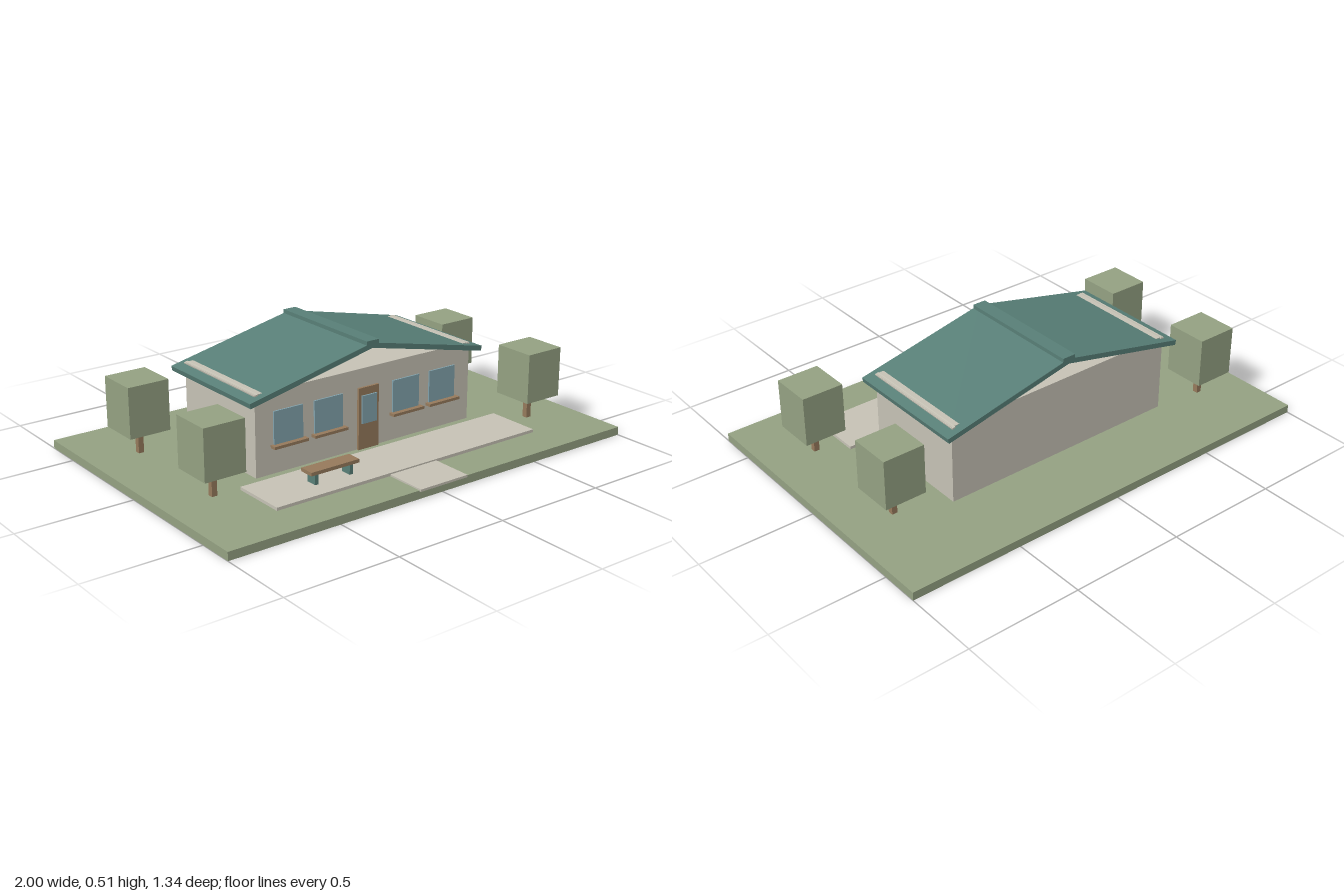
import * as THREE from 'three';

export function createModel() {
  const model = new THREE.Group();
  const paint = (name, color) => {
    const m = new THREE.MeshStandardMaterial({ color });
    m.name = name;
    return m;
  };
  const green = paint('sage green', 0x94a182);
  const stone = paint('warm stone', 0xc6c2b5);
  const teal = paint('teal', 0x587f77);
  const wood = paint('wood', 0x967a5c);
  const glass = paint('glass blue', 0x82a3ad);

  // Box given by its extents on each axis
  const box = (name, mat, [x0, x1], [y0, y1], [z0, z1], parent = model) => {
    const mesh = new THREE.Mesh(new THREE.BoxGeometry(x1 - x0, y1 - y0, z1 - z0), mat);
    mesh.position.set((x0 + x1) / 2, (y0 + y1) / 2, (z0 + z1) / 2);
    mesh.name = name;
    parent.add(mesh);
    return mesh;
  };
  const around = (c, size) => [c - size / 2, c + size / 2];

  // Grounds and paving
  box('lawn', green, [-1, 1], [0, 0.036], [-0.671, 0.662]);
  box('patio', stone, [-0.665, 0.665], [0.034, 0.049], [0.238, 0.484]);
  box('path', stone, [-0.12, 0.12], [0.033, 0.043], [0.475, 0.671]);

  // House walls, open under the gable
  const wallFront = 0.184;
  box('walls', stone, [-0.555, 0.555], [0.035, 0.385], [-0.322, wallFront]);

  // Two sloping roof slabs, each with a pale guard strip near the eave
  const eave = new THREE.Vector2(0.6, 0.367);
  const ridge = new THREE.Vector2(0, 0.498);
  const pitch = Math.atan2(ridge.y - eave.y, eave.x);
  const slopeLength = eave.distanceTo(ridge);
  for (const side of [-1, 1]) {
    const slope = new THREE.Group();
    slope.name = side > 0 ? 'leftRoofSlope' : 'rightRoofSlope';
    slope.position.set(0, ridge.y, -0.071);
    slope.rotation.z = -side * pitch;
    const span = (a, b) => (side > 0 ? [a, b] : [-b, -a]);
    box('roofSlab', teal, span(0, slopeLength), [-0.022, 0], [-0.289, 0.289], slope);
    box('guardStrip', stone, span(0.553, 0.569), [-0.002, 0.006], [-0.258, 0.258], slope);
    model.add(slope);
  }
  box('ridgeCap', teal, [-0.031, 0.031], [0.491, 0.508], [-0.36, 0.218]);

  // Windows with sills
  for (const x of [-0.4, -0.202, 0.202, 0.4]) {
    box('window', glass, around(x, 0.141), [0.155, 0.3], [wallFront - 0.002, wallFront + 0.007]);
    box('windowSill', wood, around(x, 0.166), [0.148, 0.16], [wallFront - 0.002, 0.213]);
  }

  // Door with a glass pane
  box('door', wood, [-0.052, 0.052], [0.036, 0.305], [wallFront - 0.002, 0.195]);
  box('doorPane', glass, [-0.038, 0.038], [0.15, 0.272], [0.194, 0.202]);

  // Bench
  const bench = new THREE.Group();
  bench.name = 'bench';
  box('benchSeat', wood, [-0.45, -0.217], [0.094, 0.109], [0.342, 0.409], bench);
  for (const x of [-0.419, -0.25]) {
    box('benchLeg', teal, around(x, 0.016), [0.046, 0.095], [0.35, 0.401], bench);
  }
  model.add(bench);

  // Block trees
  for (const [x, z] of [[-0.777, -0.337], [-0.777, 0.218], [0.777, -0.229], [0.777, 0.329]]) {
    const tree = new THREE.Group();
    tree.name = 'tree';
    box('trunk', wood, around(x, 0.024), [0.035, 0.145], around(z, 0.024), tree);
    box('crown', green, around(x, 0.185), [0.141, 0.36], around(z, 0.188), tree);
    model.add(tree);
  }
  return model;
}
